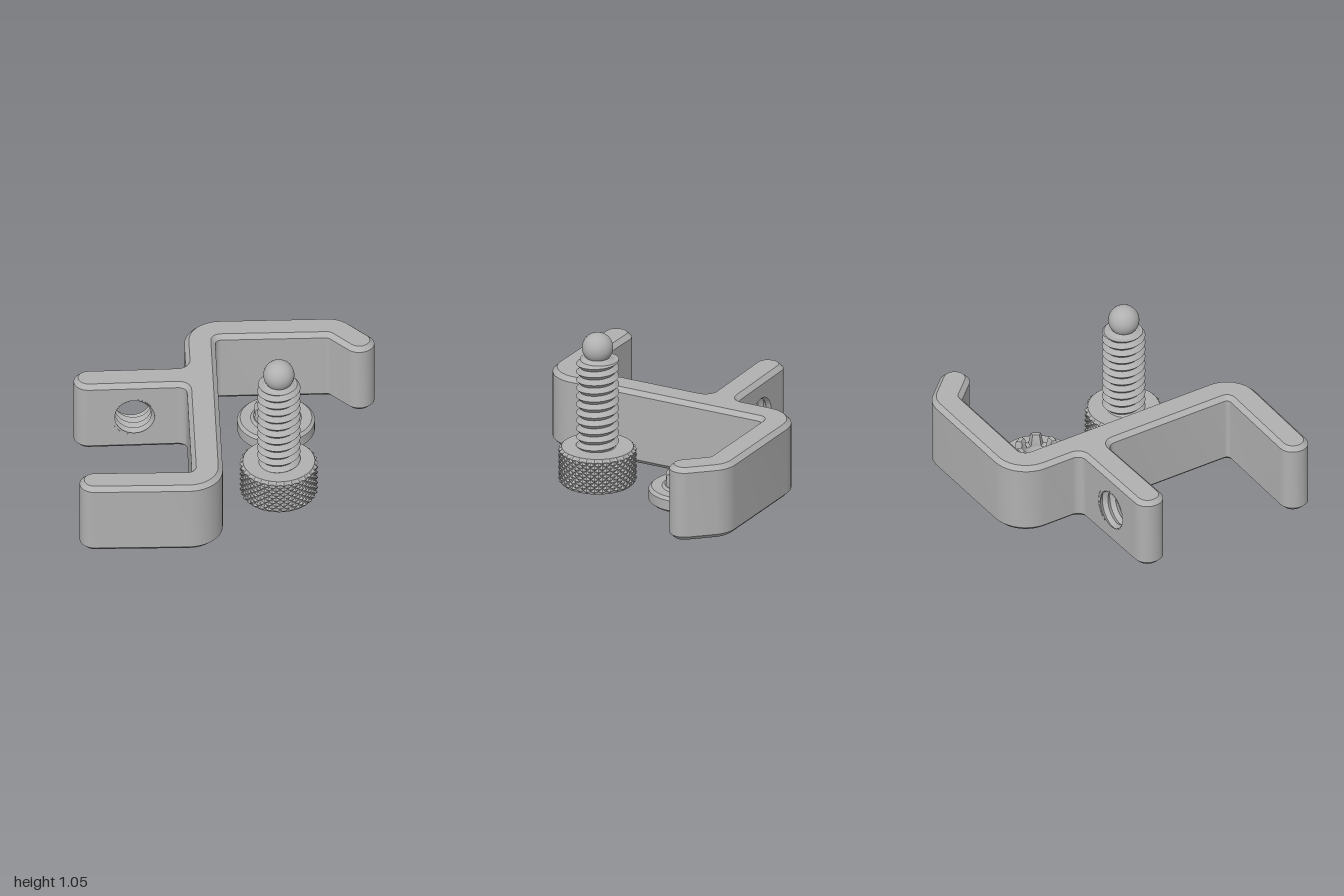
import * as THREE from 'three';
import { toCreasedNormals } from 'three/addons/utils/BufferGeometryUtils.js';

const TAU = Math.PI * 2;
const steel = new THREE.MeshStandardMaterial({ color: 0xb0b0b0 });
steel.name = 'grey steel';

function part(name, geometry, crease = 0.6) {
  const mesh = new THREE.Mesh(toCreasedNormals(geometry, crease), steel);
  mesh.name = name;
  return mesh;
}

function fromPositions(positions) {
  const g = new THREE.BufferGeometry();
  g.setAttribute('position', new THREE.Float32BufferAttribute(positions, 3));
  return g;
}

// Skin over a grid of points; i runs around the y axis, j upwards
function gridSurface(nu, nv, fn, { inward = false, diamonds = false } = {}) {
  const out = [];
  const tri = (a, b, c) => {
    const area = b.clone().sub(a).cross(c.clone().sub(a)).length();
    if (area < 1e-9) return;
    for (const p of inward ? [a, c, b] : [a, b, c]) out.push(p.x, p.y, p.z);
  };
  for (let j = 0; j < nv; j++) for (let i = 0; i < nu; i++) {
    const a = fn(i, j), b = fn(i + 1, j), c = fn(i, j + 1), d = fn(i + 1, j + 1);
    if (diamonds && (i + j) % 2) { tri(a, c, d); tri(a, d, b); }
    else { tri(a, c, b); tri(b, c, d); }
  }
  return fromPositions(out);
}

const polar = (r, angle, y) => new THREE.Vector3(r * Math.cos(angle), y, r * Math.sin(angle));

// V thread trimmed flat at both ends; the end rows run to radius endR
function thread(rMin, rMax, pitch, length, endR, inward) {
  const n = 40, rows = Math.ceil(2 * length / pitch) + 4;
  return gridSurface(n, rows, (i, j) => {
    const turn = i / n, angle = (i % n) / n * TAU;
    if (j === 0) return polar(endR, angle, 0);
    if (j === rows) return polar(endR, angle, length);
    const y = THREE.MathUtils.clamp(pitch * ((j - 1) / 2 - turn), 0, length);
    const phase = y / pitch + turn;
    const wave = 1 - Math.abs(2 * (phase - Math.floor(phase)) - 1);
    return polar(rMin + (rMax - rMin) * wave, angle, y);
  }, { inward });
}

// Closed outline from corners [x, z, fillet radius]
function roundedOutline(corners) {
  const pts = [], n = corners.length;
  corners.forEach(([x, z, r], k) => {
    const p = new THREE.Vector2(x, -z);
    const toward = ([qx, qz]) => new THREE.Vector2(qx, -qz).sub(p).normalize();
    const u = toward(corners[(k + n - 1) % n]), v = toward(corners[(k + 1) % n]);
    const half = Math.acos(THREE.MathUtils.clamp(u.dot(v), -1, 1)) / 2;
    const centre = p.clone().addScaledVector(u.clone().add(v).normalize(), r / Math.sin(half));
    const reach = r / Math.tan(half);
    const s = p.clone().addScaledVector(u, reach).sub(centre);
    const e = p.clone().addScaledVector(v, reach).sub(centre);
    const sweep = Math.atan2(s.x * e.y - s.y * e.x, s.dot(e));
    const steps = 10;
    for (let i = 0; i <= steps; i++) {
      pts.push(s.clone().rotateAround(new THREE.Vector2(), sweep * i / steps).add(centre));
    }
  });
  return new THREE.Shape(pts);
}

function createBracket() {
  const height = 0.515, bevel = 0.03, holeX = -0.61, holeR = 0.143;
  const outline = roundedOutline([
    [-0.255, -0.945, 0.24], [0.787, -0.945, 0.2], [1.041, -0.67, 0.099], [0.894, -0.534, 0.099],
    [0.699, -0.745, 0.03], [-0.05, -0.745, 0.04], [-0.05, 0.937, 0.23], [-1, 0.923, 0.098],
    [-1, 0.722, 0.098], [-0.255, 0.732, 0.03], [-0.255, -0.226, 0.06], [-1, -0.214, 0.098],
    [-1, -0.417, 0.098], [-0.255, -0.428, 0.06],
  ]);
  const body = new THREE.ExtrudeGeometry(outline, {
    depth: height - 2 * bevel, bevelEnabled: true, bevelThickness: bevel,
    bevelSize: bevel, bevelOffset: -bevel, bevelSegments: 1,
  });
  body.rotateX(-Math.PI / 2).translate(0, bevel, 0);
  const raw = (body.index ? body.toNonIndexed() : body).attributes.position.array;

  // Lift out the two flat walls of the middle arm, then refill them with a hole
  const kept = [];
  let x0 = Infinity, x1 = -Infinity;
  for (let t = 0; t < raw.length; t += 9) {
    const mid = k => (raw[t + k] + raw[t + 3 + k] + raw[t + 6 + k]) / 3;
    const wall = mid(0) > -0.86 && mid(0) < -0.4 && Math.abs(mid(2) + 0.32) < 0.13
      && mid(1) > 0.04 && mid(1) < height - 0.04;
    for (let k = 0; k < 9; k++) {
      if (!wall) kept.push(raw[t + k]);
      else if (k % 3 === 0) { x0 = Math.min(x0, raw[t + k]); x1 = Math.max(x1, raw[t + k]); }
    }
  }
  const group = new THREE.Group();
  group.name = 'bracket';
  group.add(part('bracketBody', fromPositions(kept), 0.5));

  for (const [name, zTip, zRoot, front] of [
    ['armFrontWall', -0.214, -0.226, true], ['armBackWall', -0.417, -0.428, false]]) {
    const face = new THREE.Shape([[x0, bevel], [x1, bevel], [x1, height - bevel], [x0, height - bevel]]
      .map(p => new THREE.Vector2(...p)));
    face.holes.push(new THREE.Path().absarc(holeX, height / 2, holeR, 0, TAU, true));
    let g = new THREE.ShapeGeometry(face, 20).toNonIndexed();
    const pos = g.attributes.position;
    for (let i = 0; i < pos.count; i++) {
      pos.setZ(i, zTip + (zRoot - zTip) * (pos.getX(i) + 1) / 0.745);
    }
    if (!front) {
      const a = pos.array;
      for (let t = 0; t < a.length; t += 9) for (let k = 0; k < 3; k++) {
        [a[t + 3 + k], a[t + 6 + k]] = [a[t + 6 + k], a[t + 3 + k]];
      }
    }
    group.add(part(name, g));
  }
  const lining = thread(0.12, holeR, 0.058, 0.203, holeR, true);
  lining.rotateX(Math.PI / 2).translate(holeX, height / 2, -0.423);
  group.add(part('threadedHole', lining));
  return group;
}

const lathe = (profile, segments = 64) =>
  new THREE.LatheGeometry(profile.map(p => new THREE.Vector2(...p)), segments);

function createScrew() {
  const group = new THREE.Group();
  group.name = 'thumbScrew';

  // Diamond knurled head with chamfered ends
  const columns = 60, rows = 10;
  const head = gridSurface(columns, rows + 4, (i, j) => {
    const angle = (i % columns) / columns * TAU;
    if (j < 2) return polar(j * 0.238, angle, 0);
    if (j > rows + 2) return polar((rows + 4 - j) * 0.238, angle, 0.25);
    return polar((i + j) % 2 ? 0.246 : 0.261, angle, 0.022 + 0.206 * (j - 2) / rows);
  }, { diamonds: true });
  group.add(part('knurledHead', head, 0.15));

  const shaft = thread(0.114, 0.143, 0.058, 0.63, 0.07, false);
  shaft.translate(0, 0.24, 0);
  group.add(part('threadedShaft', shaft));

  // Neck and ball tip
  const tip = [[0.112, 0.868], [0.1, 0.876], [0.085, 0.884]];
  for (let k = 0; k <= 20; k++) {
    const a = -0.68 + (Math.PI / 2 + 0.68) * k / 20;
    tip.push([k === 20 ? 0 : 0.103 * Math.cos(a), 0.952 + 0.103 * Math.sin(a)]);
  }
  group.add(part('ballTip', lathe(tip, 48)));
  group.position.set(0.335, 0, 0.29);
  return group;
}

function createPad() {
  const group = new THREE.Group();
  group.name = 'swivelPad';

  // Disc with a low collar and a round socket
  const profile = [[0, 0], [0.24, 0], [0.257, 0.015], [0.257, 0.085], [0.237, 0.105],
    [0.168, 0.105], [0.15, 0.118], [0.099, 0.118]];
  for (let k = 1; k <= 10; k++) {
    const a = -0.17 - (Math.PI / 2 - 0.17) * k / 10;
    profile.push([k === 10 ? 0 : 0.1 * Math.cos(a), 0.135 + 0.1 * Math.sin(a)]);
  }
  group.add(part('padDisc', lathe(profile)));

  // Six snap fingers: [y, outer radius, inner radius, half angle]
  const levels = [[0.1, 0.145, 0.098, 0.37], [0.185, 0.145, 0.1, 0.25],
    [0.2, 0.136, 0.108, 0.22], [0.2, 0.122, 0.122, 0.22]];
  for (let f = 0; f < 6; f++) {
    const finger = gridSurface(10, 3, (i, j) => {
      const [y, outer, inner, half] = levels[j], k = i % 10;
      const along = k < 5 ? k / 2 - 1 : 1 - (k - 5) / 2;
      return polar(k < 5 ? outer : inner, (f + 0.5) * TAU / 6 + along * half, y);
    });
    group.add(part('snapFinger', finger));
  }
  group.position.set(0.34, 0, -0.39);
  return group;
}

export function createModel() {
  const model = new THREE.Group();
  model.name = 'clampKit';
  model.add(createBracket(), createScrew(), createPad());
  return model;
}
